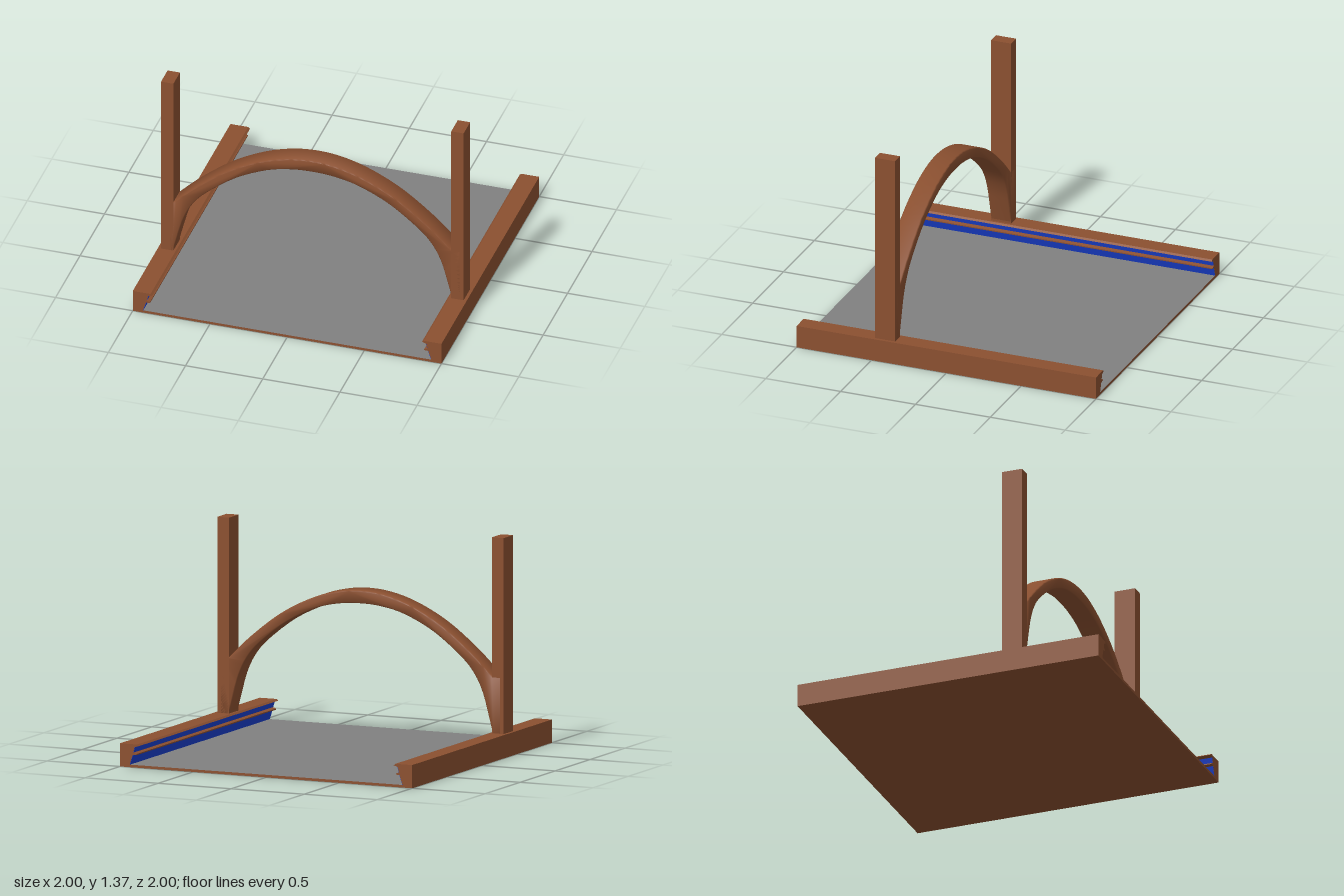
import * as THREE from 'three';
import { toCreasedNormals } from 'three/addons/utils/BufferGeometryUtils.js';

const wood = new THREE.MeshStandardMaterial({ color: 0x8b5030 });
const blue = new THREE.MeshStandardMaterial({ color: 0x1a40d0 });
const grey = new THREE.MeshStandardMaterial({ color: 0x808080 });

const FLOOR = 0.016;
const ARCH_BACK = 0.35, ARCH_FRONT = 0.485;

// extrude an outline (mirrored by side) from z0 to z1
function prism(points, side, z0, z1) {
  const shape = new THREE.Shape(points.map(([x, y]) => new THREE.Vector2(side * x, y)));
  return new THREE.ExtrudeGeometry(shape, { depth: z1 - z0, bevelEnabled: false }).translate(0, 0, z0);
}

// rail section: plain outside, two small lips on the sloping inner wall
const railProfile = [
  [1, 0], [1, 0.145], [0.885, 0.145], [0.873, 0.135], [0.9, 0.127],
  [0.91, 0.092], [0.888, 0.085], [0.888, 0.078], [0.914, 0.076],
  [0.934, FLOOR], [0.934, 0],
];

// thin strips lying on the inner wall above and below the lower lip
const stripProfiles = [
  [[0.904, 0.127], [0.898, 0.127], [0.908, 0.093], [0.914, 0.093]],
  [[0.92, 0.075], [0.912, 0.075], [0.932, FLOOR], [0.94, FLOOR]],
];

function createArch() {
  const v = (x, y) => new THREE.Vector2(x, y);
  const outer = [[-0.9, 0.5], [-0.75, 0.642], [-0.55, 0.795], [-0.35, 0.9], [-0.17, 0.957], [0, 0.975]];
  const inner = [[-0.905, 0.14], [-0.87, 0.275], [-0.835, 0.395], [-0.78, 0.505], [-0.69, 0.607],
    [-0.5, 0.752], [-0.3, 0.848], [-0.14, 0.886], [0, 0.895]];
  // complete a half line with its mirror image and smooth it
  const full = (half) => new THREE.SplineCurve([
    ...half.map(([x, y]) => v(x, y)),
    ...half.slice(0, -1).reverse().map(([x, y]) => v(-x, y)),
  ]).getPoints(64);
  const shape = new THREE.Shape([
    v(-0.96, 0.14), v(-0.96, 0.5), ...full(outer), v(0.96, 0.5), v(0.96, 0.14), ...full(inner).reverse(),
  ]);
  const bevel = 0.006;
  const geometry = new THREE.ExtrudeGeometry(shape, {
    depth: ARCH_FRONT - ARCH_BACK - 2 * bevel,
    bevelThickness: bevel, bevelSize: bevel, bevelOffset: -bevel, bevelSegments: 1,
  }).translate(0, 0, ARCH_BACK + bevel);
  return toCreasedNormals(geometry, 0.9);
}

export function createModel() {
  const model = new THREE.Group();
  const add = (name, geometry, material) => {
    const mesh = new THREE.Mesh(geometry, material);
    mesh.name = name;
    model.add(mesh);
    return mesh;
  };

  // floor slab: grey top, wooden edges and underside
  add('floor', new THREE.BoxGeometry(1.868, FLOOR, 2), [wood, wood, grey, wood, wood, wood])
    .position.y = FLOOR / 2;

  for (const [side, label] of [[1, 'left'], [-1, 'right']]) {
    add(label + 'Rail', prism(railProfile, side, -1, 1), wood);
    stripProfiles.forEach((profile, i) =>
      add(label + 'Strip' + (i + 1), prism(profile, side, -0.999, 0.999), blue));

    // upright post standing on the rail
    add(label + 'Post', new THREE.BoxGeometry(0.08, 1.23, ARCH_FRONT - ARCH_BACK), wood)
      .position.set(side * 0.94, 0.755, (ARCH_FRONT + ARCH_BACK) / 2);
  }

  // arched brace between the posts
  add('arch', createArch(), wood);
  return model;
}
